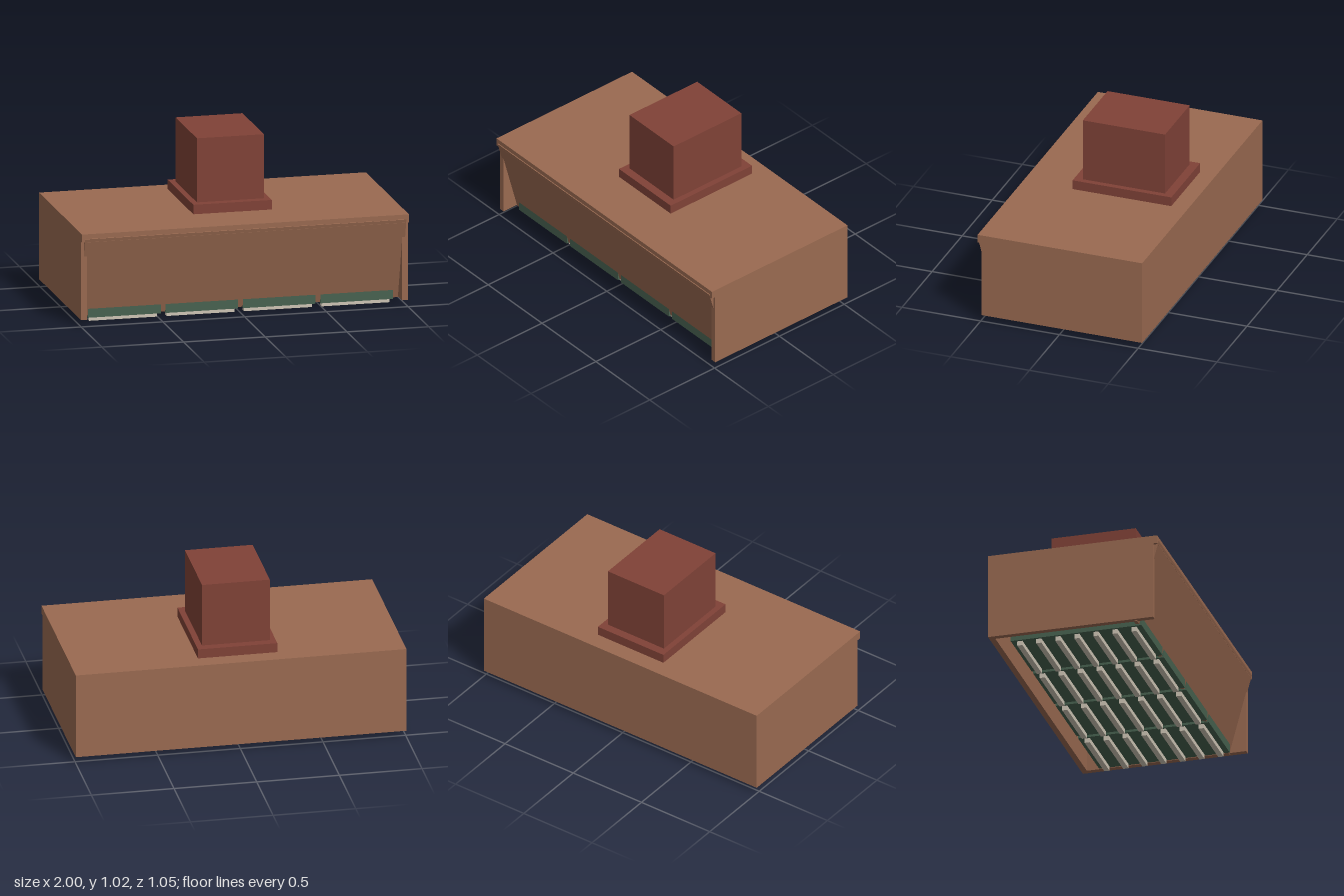
import * as THREE from 'three';

const material = (name, color) => {
  const m = new THREE.MeshStandardMaterial({ color });
  m.name = name;
  return m;
};

export function createModel() {
  const copper = material('copper brown', 0x9a6a51);
  const red = material('duct red', 0x804237);
  const green = material('filter green', 0x486250);
  const cream = material('slat cream', 0xcfc6b6);

  const model = new THREE.Group();
  model.name = 'rangeHood';

  // Box given by its min and max corners
  const box = (name, mat, [x0, y0, z0], [x1, y1, z1], parent = model) => {
    const mesh = new THREE.Mesh(new THREE.BoxGeometry(x1 - x0, y1 - y0, z1 - z0), mat);
    mesh.position.set((x0 + x1) / 2, (y0 + y1) / 2, (z0 + z1) / 2);
    mesh.name = name;
    parent.add(mesh);
    return mesh;
  };

  // Canopy shell, open at the bottom
  box('topPanel', copper, [-1, 0.52, -0.525], [1, 0.57, 0.52]);
  box('backPanel', copper, [-0.965, 0.04, -0.525], [0.965, 0.52, -0.49]);
  box('leftSidePanel', copper, [0.965, 0.04, -0.525], [1, 0.52, 0.495]);
  box('rightSidePanel', copper, [-1, 0.04, -0.525], [-0.965, 0.52, 0.495]);

  // Front panel leaning back towards its lower edge, drawn as a (z, y) profile
  const profile = new THREE.Shape([
    [0.525, 0.54], [0.5, 0.545], [0.366, 0.04], [0.39, 0.034],
  ].map(([z, y]) => new THREE.Vector2(z, y)));
  const frontGeometry = new THREE.ExtrudeGeometry(profile, { depth: 1.966, bevelEnabled: false });
  frontGeometry.rotateY(-Math.PI / 2).translate(0.983, 0, 0);
  const front = new THREE.Mesh(frontGeometry, copper);
  front.name = 'slopedFrontPanel';
  model.add(front);

  // Chimney with its collar
  box('ductCollar', red, [-0.24, 0.57, -0.42], [0.24, 0.628, 0.207]);
  box('duct', red, [-0.205, 0.628, -0.367], [0.205, 1.02, 0.155]);

  // Four grease filters, each with seven slats underneath
  for (let i = 0; i < 4; i++) {
    const x = (i - 1.5) * 0.474;
    const filter = new THREE.Group();
    filter.name = `filter${i + 1}`;
    model.add(filter);
    box('filterPlate', green, [x - 0.222, 0.028, -0.405], [x + 0.222, 0.092, 0.403], filter);
    for (let j = -3; j <= 3; j++) {
      const z = j * 0.1175;
      box('filterSlat', cream, [x - 0.208, 0, z - 0.016], [x + 0.208, 0.028, z + 0.016], filter);
    }
  }

  return model;
}
